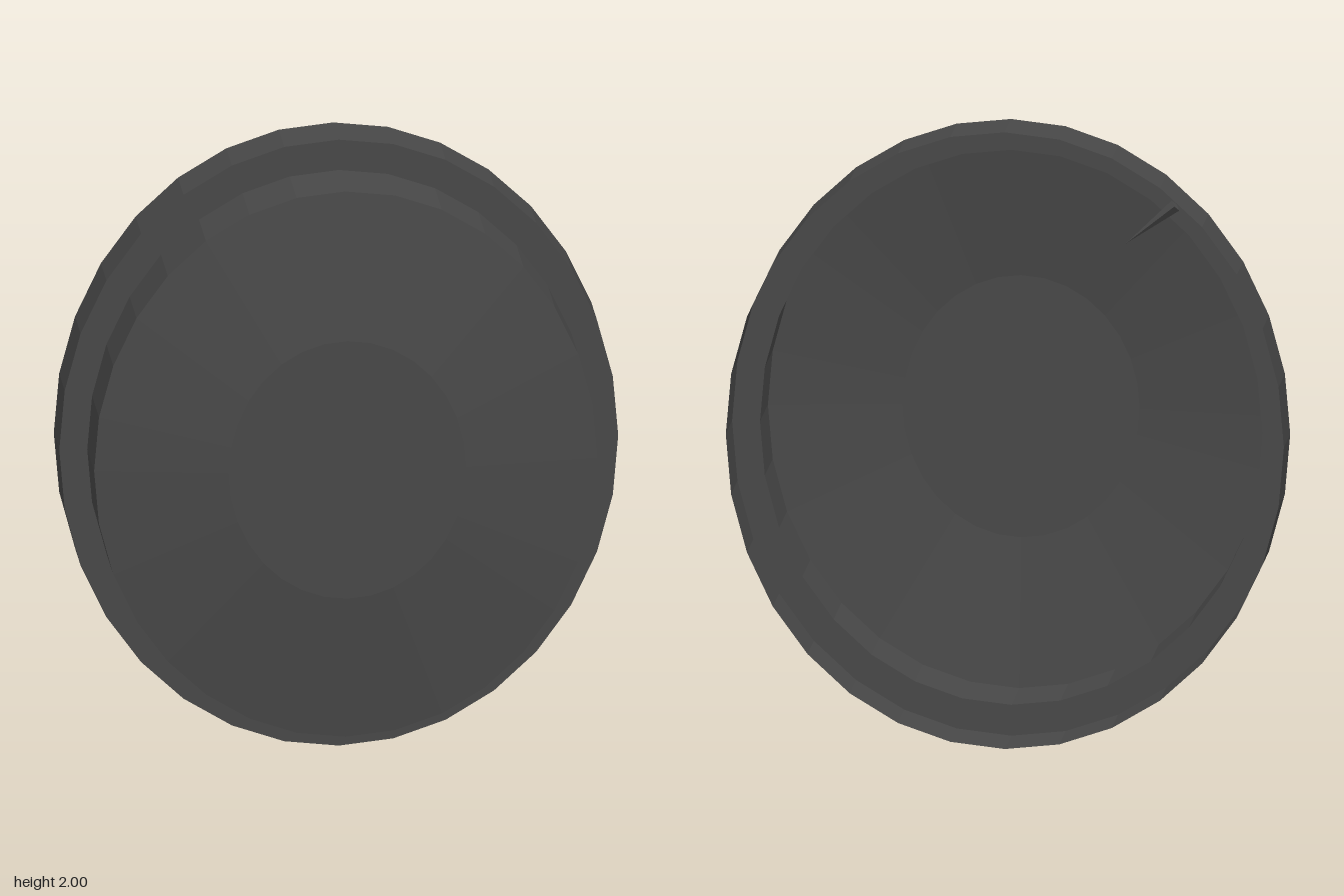
import * as THREE from 'three';

export function createModel() {
  const group = new THREE.Group();
  const material = new THREE.MeshStandardMaterial({
    color: 0x484848, flatShading: true, side: THREE.DoubleSide,
  });
  const add = (name, geometry) => {
    const mesh = new THREE.Mesh(geometry, material);
    mesh.name = name;
    group.add(mesh);
    return mesh;
  };

  // Thin oval shell of revolution: profile is [radius, z], then squeezed in x
  const ovalShell = (name, profile) => {
    const points = profile.map(([r, z]) => new THREE.Vector2(r, z));
    const geometry = new THREE.LatheGeometry(points, 32);
    geometry.rotateX(Math.PI / 2).scale(0.887, 1, 1).translate(0, 1, 0);
    return add(name, geometry);
  };

  // Wide rear band with the step that joins it to the narrower wall
  ovalShell('rearBand', [[1, -0.245], [1, -0.055], [0.9, -0.055]]);
  // Narrower front wall
  ovalShell('frontWall', [[0.9, -0.055], [0.9, 0.182]]);
  // Shallow bevelled face with a flat centre
  ovalShell('frontFace', [[0.9, 0.182], [0.425, 0.245], [0, 0.245]]);

  // Small pointed prong inside the rear band
  const base = new THREE.Vector3(-0.54, 1.77, -0.22);
  const tip = new THREE.Vector3(-0.38, 1.64, -0.21);
  const axis = tip.clone().sub(base);
  const prong = add('innerProng', new THREE.ConeGeometry(0.02, axis.length(), 4));
  prong.position.copy(base).lerp(tip, 0.5);
  prong.quaternion.setFromUnitVectors(new THREE.Vector3(0, 1, 0), axis.normalize());

  return group;
}
